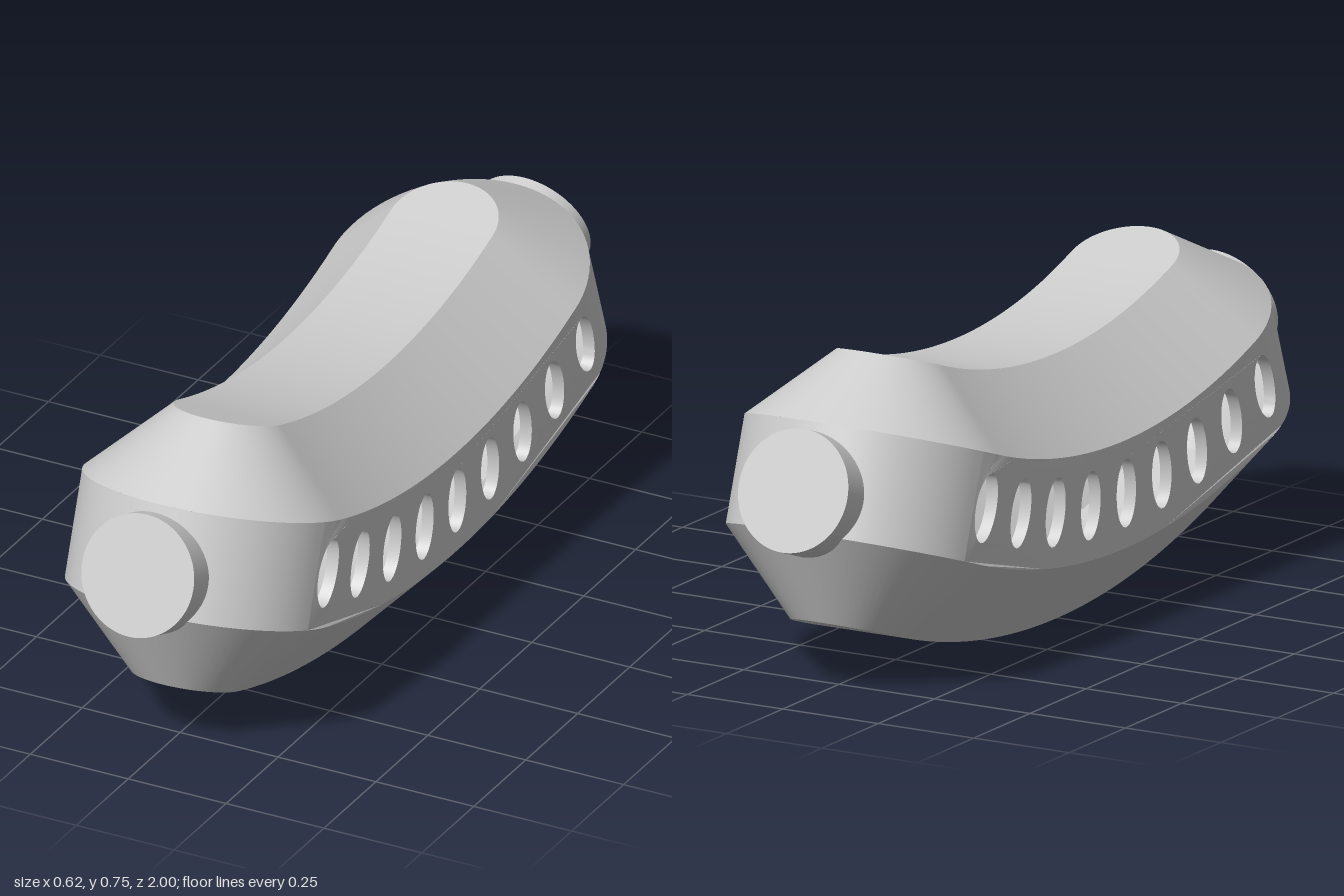
import * as THREE from 'three';
import { toCreasedNormals } from 'three/addons/utils/BufferGeometryUtils.js';

const CY = 2.16;        // height of the bend centre
const END = 0.337;      // bend angle where the rounded ends begin
const WIDE = 0.31, SLIM = 0.13, WALL = 0.03;
const R_TOP = 1.54, R_UPPER = 1.72, R_LOWER = 1.972, R_BOTTOM = 2.16;
const PANEL_END = 0.06; // how far a side panel wraps onto the rounded end

// Point at half-width rho and bend radius r, at bend angle a, turned by phi round the end
function bent(rho, r, a, phi) {
  const off = rho * Math.sin(phi);
  return [rho * Math.cos(phi),
    CY - r * Math.cos(a) + off * Math.sin(a),
    r * Math.sin(a) + off * Math.cos(a)];
}

// Samples [a, phi] along one rounded end
function endSamples(sign, trim = 0, n = 40) {
  const out = [];
  const base = sign > 0 ? 0 : Math.PI;
  for (let i = 0; i <= n; i++) {
    const phi = base + trim + (Math.PI - 2 * trim) * i / n;
    // for the back end the frame stays at -END and phi runs on from PI to 2 PI
    out.push([sign * END, phi]);
  }
  return out;
}

// Samples round the whole bent stadium outline
function outline(n = 40) {
  const out = [];
  for (let i = 0; i < n; i++) out.push([-END + 2 * END * i / n, 0]);
  out.push(...endSamples(1));
  for (let i = 1; i < n; i++) out.push([END - 2 * END * i / n, Math.PI]);
  out.push(...endSamples(-1));
  return out;
}

// Surface between two levels [rho, r], following the samples
function strip(samples, from, to) {
  const pos = [], idx = [];
  for (const [rho, r] of [from, to])
    for (const [a, phi] of samples) pos.push(...bent(rho, r, a, phi));
  const n = samples.length;
  for (let i = 0; i < n - 1; i++) idx.push(i, i + 1, n + i, i + 1, n + i + 1, n + i);
  const g = new THREE.BufferGeometry();
  g.setAttribute('position', new THREE.Float32BufferAttribute(pos, 3));
  g.setIndex(idx);
  g.computeVertexNormals();
  return g;
}

// Side wall with a row of oval openings, lying on +x
function sidePanel() {
  const edge = (r) => {
    const pts = [];
    const ends = [PANEL_END, 0.045, 0.03, 0.015];
    const at = (a, d) => pts.push(new THREE.Vector2(
      r * Math.sin(a) + d * Math.cos(a), CY - r * Math.cos(a) + d * Math.sin(a)));
    for (const d of ends) at(-END, -d);
    for (let i = 0; i <= 40; i++) at(-END + 2 * END * i / 40, 0);
    for (const d of ends.slice().reverse()) at(END, d);
    return pts;
  };
  const shape = new THREE.Shape([...edge(R_LOWER), ...edge(R_UPPER).reverse()]);
  for (let i = -4; i <= 4; i++) {
    const a = i * 0.0855, r = 1.844;
    const hole = new THREE.Path();
    hole.absellipse(r * Math.sin(a), CY - r * Math.cos(a), 0.043, 0.08, 0, Math.PI * 2, true, a);
    shape.holes.push(hole);
  }
  const g = new THREE.ExtrudeGeometry(shape, { depth: WALL, bevelEnabled: false, curveSegments: 20 });
  g.rotateY(Math.PI / 2).translate(WIDE - WALL, 0, 0);
  // wrap the tips onto the rounded ends
  const p = g.attributes.position;
  for (let i = 0; i < p.count; i++) {
    const d = Math.abs(p.getZ(i)) * Math.cos(END) + (p.getY(i) - CY) * Math.sin(END);
    if (d > 0) p.setX(i, p.getX(i) - WIDE + Math.sqrt(WIDE * WIDE - d * d));
  }
  return toCreasedNormals(g, 0.5);
}

export function createModel() {
  const model = new THREE.Group();
  model.name = 'bentHousing';
  const mat = new THREE.MeshStandardMaterial({ color: 0xcccccc });
  const add = (name, geo) => {
    const m = new THREE.Mesh(geo, mat);
    m.name = name;
    model.add(m);
    return m;
  };

  // Outer skin: flat faces and chamfers
  const loop = outline();
  add('topFace', strip(loop, [0, R_TOP], [SLIM, R_TOP]));
  add('upperChamfer', strip(loop, [SLIM, R_TOP], [WIDE, R_UPPER]));
  add('lowerChamfer', strip(loop, [WIDE, R_LOWER], [SLIM, R_BOTTOM]));
  add('bottomFace', strip(loop, [SLIM, R_BOTTOM], [0, R_BOTTOM]));

  // Inner skin, facing the cavity
  const k = WALL * Math.tan(Math.PI / 8);
  const inW = WIDE - WALL, inS = SLIM - k;
  const inner = [[0, R_TOP + WALL], [inS, R_TOP + WALL], [inW, R_UPPER + k],
    [inW, R_LOWER - k], [inS, R_BOTTOM - WALL], [0, R_BOTTOM - WALL]];
  ['innerTop', 'innerUpperChamfer', null, 'innerLowerChamfer', 'innerBottom'].forEach((name, i) => {
    if (name) add(name, strip(loop, inner[i + 1], inner[i]));
  });

  // Pierced side walls
  const panel = sidePanel();
  add('leftSideWall', panel);
  add('rightSideWall', panel).rotation.y = Math.PI;

  // Rounded end walls and their round bosses
  const trim = Math.asin(PANEL_END / WIDE);
  for (const [side, s] of [['front', 1], ['back', -1]]) {
    const arc = endSamples(s, trim);
    add(side + 'EndWall', strip(arc, [WIDE, R_UPPER], [WIDE, R_LOWER]));
    add(side + 'InnerEndWall', strip(arc, inner[3], inner[2]));

    const near = 0.23, far = 0.351, r = 1.883;
    const boss = new THREE.CylinderGeometry(0.142, 0.142, far - near, 64);
    boss.rotateX(Math.PI / 2 - END);
    boss.translate(...bent((near + far) / 2, r, END, Math.PI / 2));
    if (s < 0) boss.rotateY(Math.PI);
    add(side + 'Boss', boss);
  }
  return model;
}
